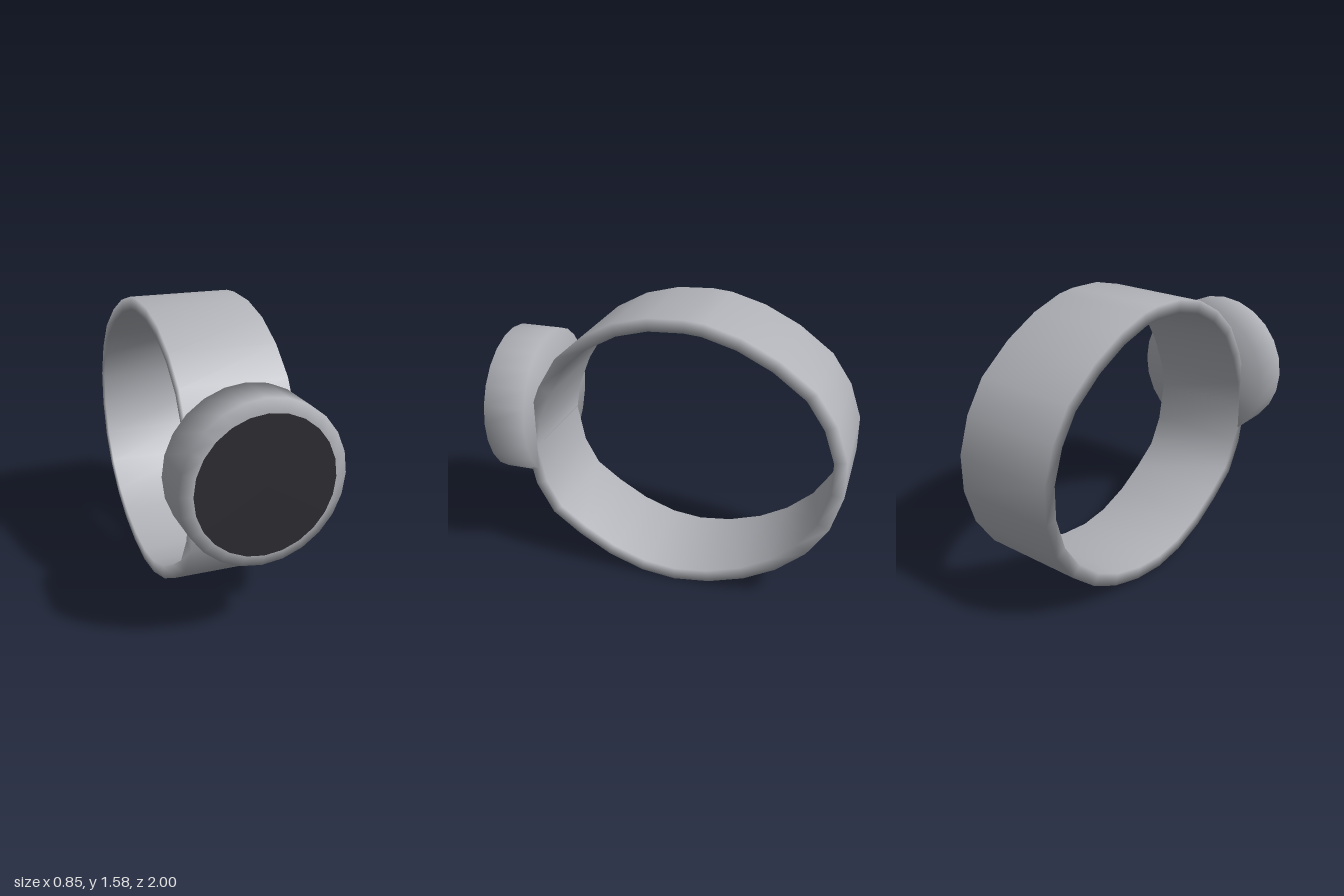
import * as THREE from 'three';

const metal = new THREE.MeshStandardMaterial({ name: 'metalGrey', color: 0xb0b2b8 });
const glass = new THREE.MeshStandardMaterial({ name: 'darkGlass', color: 0x2d2c32 });

// Closed strap: an outer outline in (z, y), thickened inwards and swept across x.
function strapGeometry(outline, halfWidth, thickness) {
  const n = outline.length;
  const positions = [];
  const indices = [];
  for (let i = 0; i < n; i++) {
    const [z, y] = outline[i];
    const [z0, y0] = outline[(i + n - 1) % n];
    const [z1, y1] = outline[(i + 1) % n];
    const length = Math.hypot(z1 - z0, y1 - y0);
    const innerZ = z + ((y1 - y0) / length) * thickness;
    const innerY = y - ((z1 - z0) / length) * thickness;
    positions.push(halfWidth, y, z, -halfWidth, y, z);
    positions.push(-halfWidth, innerY, innerZ, halfWidth, innerY, innerZ);
    const j = (i + 1) % n;
    for (let k = 0; k < 4; k++) {
      const m = (k + 1) % 4;
      indices.push(i * 4 + k, i * 4 + m, j * 4 + m, i * 4 + k, j * 4 + m, j * 4 + k);
    }
  }
  const geometry = new THREE.BufferGeometry();
  geometry.setAttribute('position', new THREE.Float32BufferAttribute(positions, 3));
  geometry.setIndex(indices);
  geometry.computeVertexNormals(); // shared corners keep the edges soft
  return geometry;
}

export function createModel() {
  const group = new THREE.Group();
  const add = (name, geometry, material) => {
    const mesh = new THREE.Mesh(geometry, material);
    mesh.name = name;
    group.add(mesh);
    return mesh;
  };

  // Strap loop, from behind the case down, round the back and over the top
  const outline = [
    [0.805, 0.74], [0.757, 0.497], [0.66, 0.32], [0.5, 0.2], [0.318, 0.094], [0.115, 0.022],
    [-0.08, 0], [-0.286, 0.025], [-0.49, 0.09], [-0.666, 0.187], [-0.826, 0.326],
    [-0.94, 0.5], [-1, 0.706], [-1, 0.91], [-0.933, 1.107], [-0.82, 1.273],
    [-0.628, 1.417], [-0.43, 1.515], [-0.238, 1.57], [-0.13, 1.58], [0.07, 1.57],
    [0.26, 1.52], [0.44, 1.422], [0.59, 1.289], [0.698, 1.112], [0.775, 0.92],
  ];
  add('strap', strapGeometry(outline, 0.287, 0.07), metal);

  // Round case with a chamfered front rim and closed back
  const profile = [[0, 0.735], [0.425, 0.735], [0.425, 0.975], [0.36, 0.998], [0, 0.998]]
    .map(([r, z]) => new THREE.Vector2(r, z));
  const caseBody = add('case', new THREE.LatheGeometry(profile, 24).rotateX(Math.PI / 2), metal);
  caseBody.position.y = 0.91;

  // Dark dial
  const dial = add('dial', new THREE.CircleGeometry(0.36, 24), glass);
  dial.position.set(0, 0.91, 1);

  return group;
}
